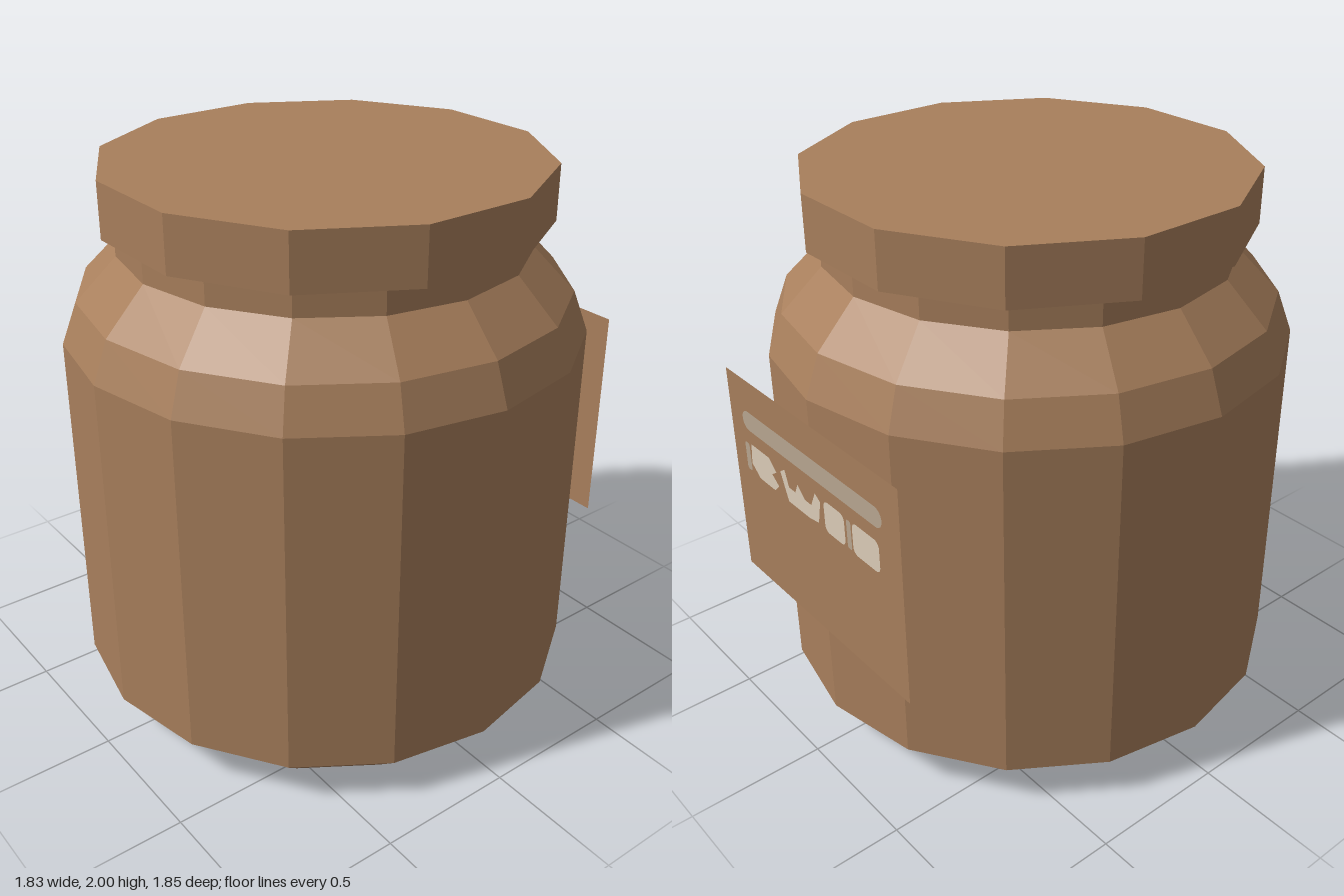
import * as THREE from 'three';

const clay = new THREE.MeshStandardMaterial({ color: 0xa87f5c, flatShading: true, side: THREE.DoubleSide });
clay.name = 'brown';
const stripeMat = new THREE.MeshStandardMaterial({ color: 0xb8a791, side: THREE.DoubleSide });
stripeMat.name = 'greyBeige';
const paleMat = new THREE.MeshStandardMaterial({ color: 0xdccdb9, side: THREE.DoubleSide });
paleMat.name = 'paleBeige';

function add(parent, name, geometry, material) {
  const mesh = new THREE.Mesh(geometry, material);
  mesh.name = name;
  parent.add(mesh);
  return mesh;
}

// Flat rectangle with rounded corners, centred on (cx, cy)
function roundedPlate(cx, cy, w, h, r) {
  const s = new THREE.Shape();
  const x = w / 2 - r, y = h / 2 - r;
  s.absarc(cx + x, cy + y, r, 0, Math.PI / 2);
  s.absarc(cx - x, cy + y, r, Math.PI / 2, Math.PI);
  s.absarc(cx - x, cy - y, r, Math.PI, Math.PI * 1.5);
  s.absarc(cx + x, cy - y, r, Math.PI * 1.5, Math.PI * 2);
  return new THREE.ShapeGeometry(s, 6);
}

function polygonPlate(points) {
  return new THREE.ShapeGeometry(new THREE.Shape(points.map(p => new THREE.Vector2(...p))));
}

export function createModel() {
  const model = new THREE.Group();
  model.name = 'jar';

  // Sixteen-sided body with bevelled foot, sloping shoulder and neck
  const profile = [[0, 0], [0.75, 0], [0.915, 0.155], [0.915, 1.415], [0.86, 1.56], [0.715, 1.71], [0.715, 1.82]]
    .map(p => new THREE.Vector2(...p));
  add(model, 'body', new THREE.LatheGeometry(profile, 16), clay).position.z = 0.008;

  // Twelve-sided lid, turned so flats face the front and sides
  const lid = add(model, 'lid', new THREE.CylinderGeometry(0.776, 0.776, 0.195, 12), clay);
  lid.position.set(0, 1.9025, 0.004);
  lid.rotation.y = Math.PI / 12;

  // Flat label on the back; its own x runs left to right as seen from behind
  const label = new THREE.Group();
  label.name = 'label';
  label.position.set(0, 0.93, -0.922);
  label.rotation.y = Math.PI;
  model.add(label);
  add(label, 'labelPlate', new THREE.PlaneGeometry(1.02, 0.815), clay);

  // Painted marks on the label
  const marks = new THREE.Group();
  marks.name = 'labelMarks';
  marks.position.z = 0.004;
  label.add(marks);
  add(marks, 'labelStripe', roundedPlate(0, 0.25, 0.84, 0.075, 0.037), stripeMat);
  add(marks, 'notchedMark', polygonPlate([[-0.38, 0.16], [-0.26, 0.16], [-0.22, 0.12], [-0.25, 0.1],
    [-0.21, 0.07], [-0.24, 0.04], [-0.34, 0.04], [-0.39, 0.08]]), paleMat);
  add(marks, 'waveMark', polygonPlate([[-0.19, 0.14], [-0.16, 0.16], [-0.14, 0.1], [-0.1, 0.1], [-0.08, 0.14],
    [-0.04, 0.1], [0, 0.1], [0.03, 0.16], [0.06, 0.14], [0.04, 0.05], [-0.02, 0.04], [-0.15, 0.04]]), paleMat);
  for (const [x, w] of [[0.14, 0.12], [0.32, 0.15]])
    add(marks, 'blockMark', roundedPlate(x, 0.1, w, 0.12, 0.025), paleMat);
  for (const [x, w] of [[-0.41, 0.03], [0.225, 0.025]])
    add(marks, 'thinMark', roundedPlate(x, 0.1, w, 0.11, 0.01), stripeMat);

  return model;
}
